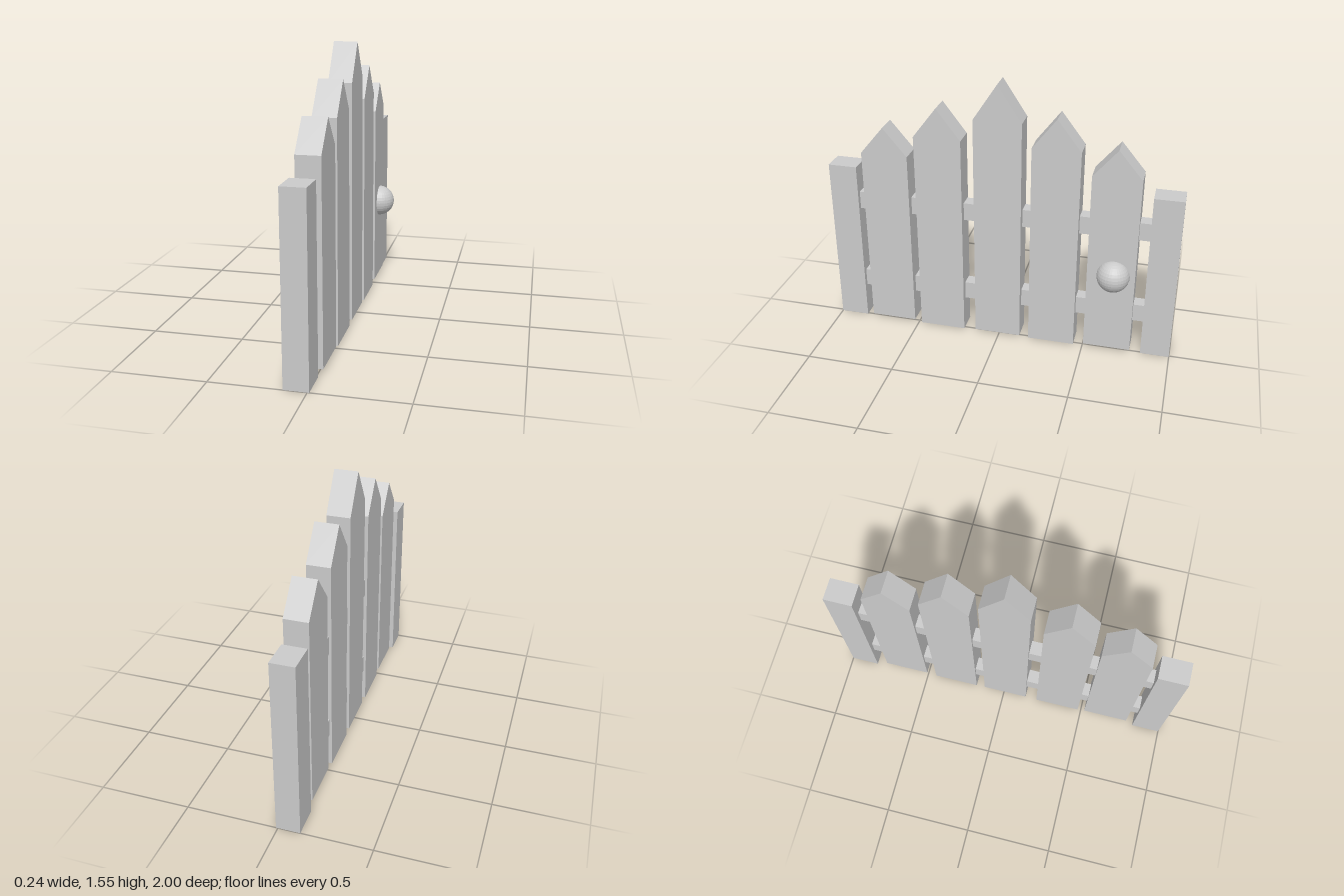
import * as THREE from 'three';

export function createModel() {
  const model = new THREE.Group();
  const material = new THREE.MeshStandardMaterial({ color: 0xcccccc, flatShading: true });

  function add(name, geometry) {
    const mesh = new THREE.Mesh(geometry, material);
    mesh.name = name;
    model.add(mesh);
    return mesh;
  }

  // Box given by its limits on each axis
  function box(name, [x0, x1], [y0, y1], [z0, z1]) {
    add(name, new THREE.BoxGeometry(x1 - x0, y1 - y0, z1 - z0))
      .position.set((x0 + x1) / 2, (y0 + y1) / 2, (z0 + z1) / 2);
  }

  // End posts
  box('leftPost', [-0.12, 0.01], [0, 0.99], [0.835, 1]);
  box('rightPost', [-0.12, 0.01], [0, 0.99], [-1, -0.836]);

  // Horizontal rails running through the pickets
  box('lowerRail', [-0.093, -0.017], [0.2, 0.305], [-0.9, 0.9]);
  box('upperRail', [-0.093, -0.017], [0.72, 0.825], [-0.9, 0.9]);

  // Pointed pickets: centre z, bottom, shoulder, peak
  const half = 0.134, back = -0.106, thickness = 0.13;
  const pickets = [
    [0.656, 0.02, 1.09, 1.25],
    [0.346, 0.005, 1.215, 1.39],
    [0.008, 0.012, 1.345, 1.55],
    [-0.313, 0.005, 1.215, 1.39],
    [-0.64, 0.02, 1.09, 1.25],
  ];
  pickets.forEach(([z, bottom, shoulder, peak], i) => {
    const outline = new THREE.Shape([
      new THREE.Vector2(-half, bottom),
      new THREE.Vector2(half, bottom),
      new THREE.Vector2(half, shoulder),
      new THREE.Vector2(0, peak),
      new THREE.Vector2(-half, shoulder),
    ]);
    const geometry = new THREE.ExtrudeGeometry(outline, { depth: thickness, bevelEnabled: false });
    geometry.rotateY(Math.PI / 2);
    add(`picket${i + 1}`, geometry).position.set(back, 0, z);
  });

  // Round knob half sunk into the last picket
  add('knob', new THREE.SphereGeometry(0.092, 32, 16)).position.set(0.024, 0.5, -0.653);

  return model;
}
